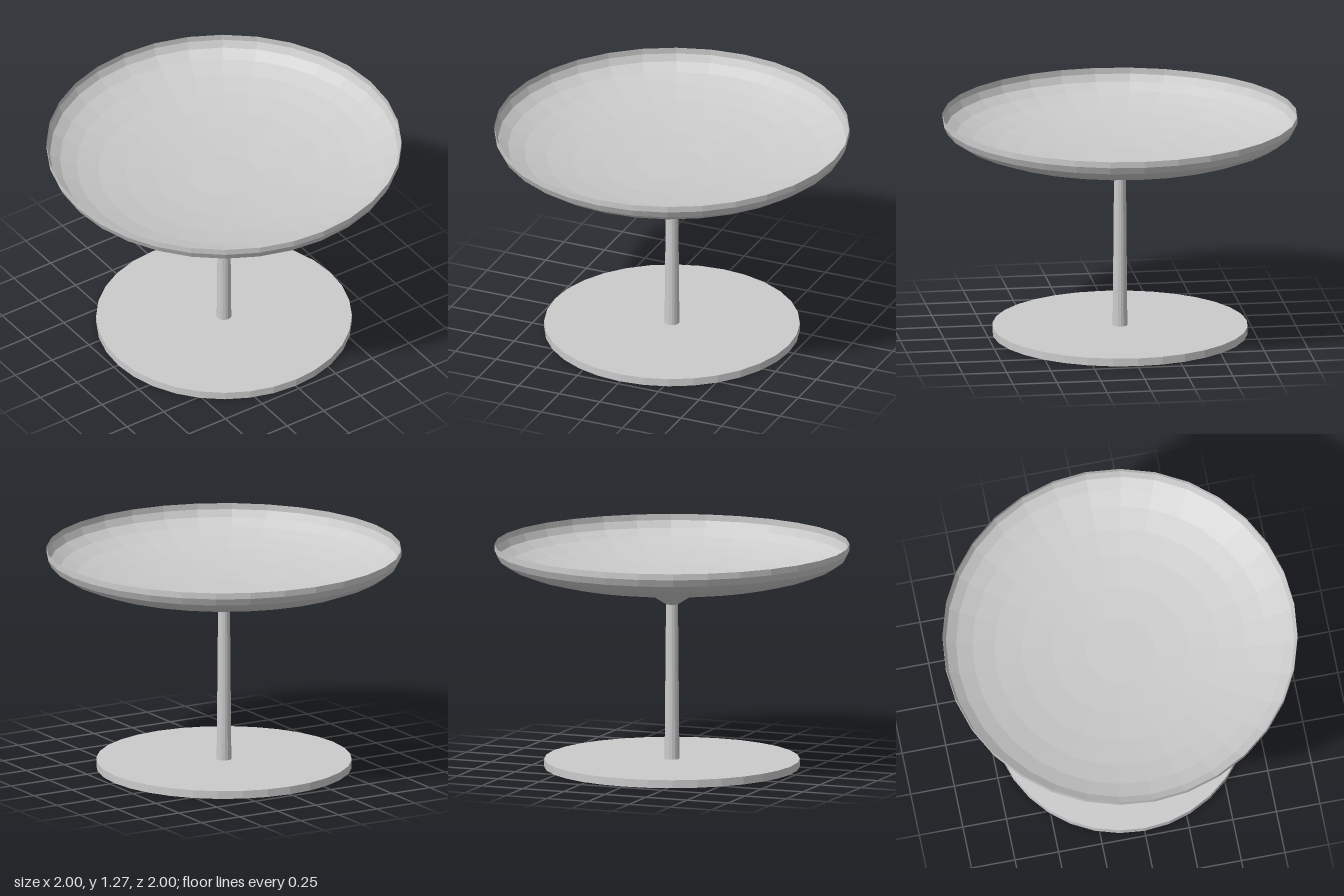
import * as THREE from 'three';

const SIDES = 32;

export function createModel() {
  const group = new THREE.Group();
  const solid = new THREE.MeshStandardMaterial({ color: 0xcccccc, flatShading: true });
  const thin = new THREE.MeshStandardMaterial({ color: 0xcccccc, flatShading: true, side: THREE.DoubleSide });

  const add = (name, geometry, material, y = 0) => {
    const mesh = new THREE.Mesh(geometry, material);
    mesh.name = name;
    mesh.position.y = y;
    group.add(mesh);
  };
  const disc = (top, bottom, height, sides) => new THREE.CylinderGeometry(top, bottom, height, sides);

  // Round foot plate
  add('base', disc(0.72, 0.72, 0.045, SIDES), solid, 0.0225);

  // Slightly tapered stem
  add('stem', disc(0.034, 0.042, 0.89, 16), solid, 0.487);

  // Flared collar joining stem and dish
  add('collar', disc(0.194, 0.036, 0.1, SIDES), solid, 0.979);

  // Thin shallow dish: flattened half sphere with a short upright rim
  const profile = [];
  for (let i = 0; i <= 8; i++) {
    const a = (i / 8) * Math.PI / 2;
    profile.push(new THREE.Vector2(Math.sin(a), 1.235 - 0.21 * Math.cos(a)));
  }
  profile.push(new THREE.Vector2(1, 1.27));
  add('dish', new THREE.LatheGeometry(profile, SIDES), thin);

  return group;
}
